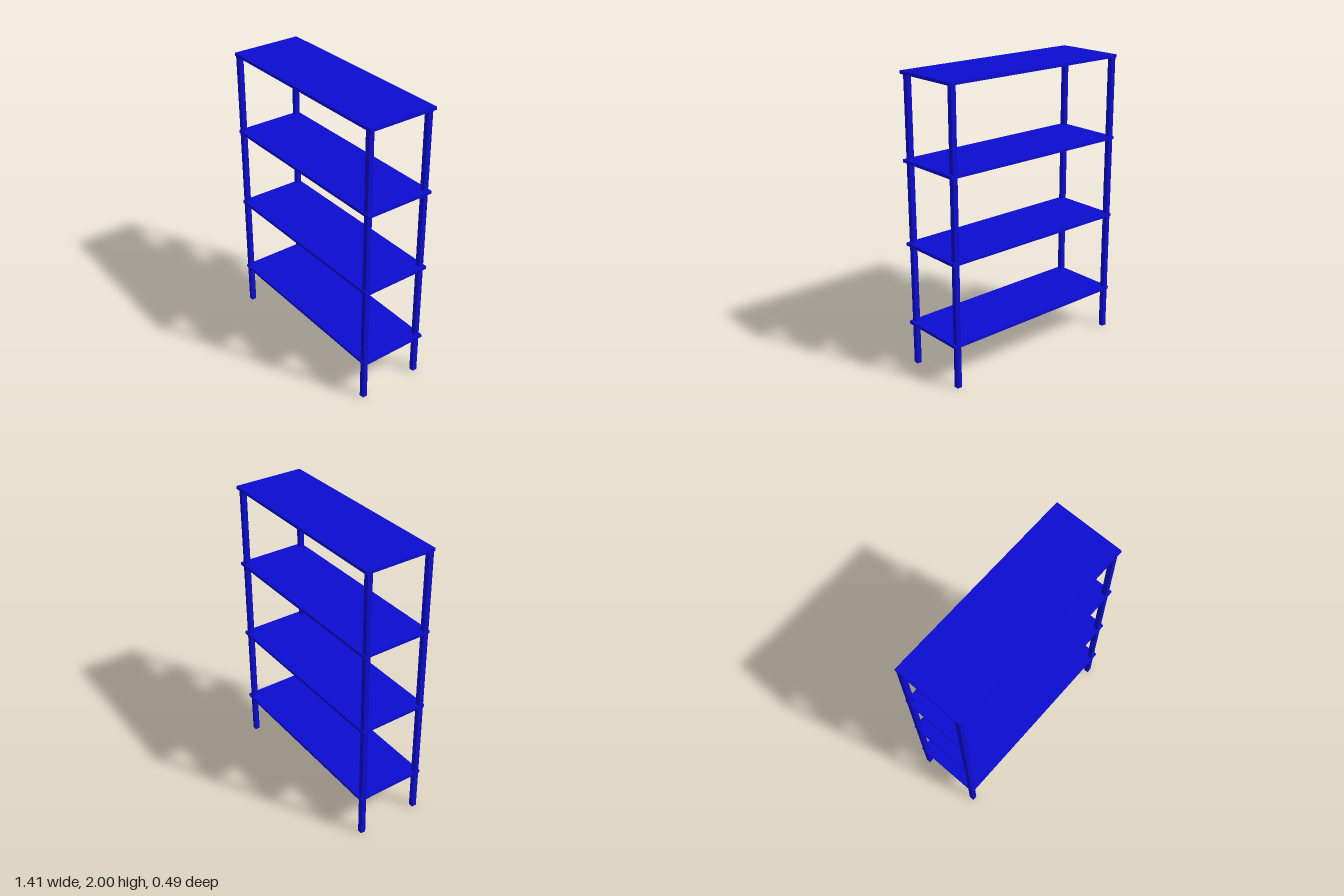
import * as THREE from 'three';

const WIDTH = 1.406, DEPTH = 0.493, HEIGHT = 2;
const BOARD = 0.02;      // shelf thickness
const POST = 0.034;      // post side

export function createModel() {
  const group = new THREE.Group();
  group.name = 'shelvingUnit';
  const blue = new THREE.MeshStandardMaterial({ color: 0x0c0cd0 });

  const addBox = (name, size, position) => {
    const mesh = new THREE.Mesh(new THREE.BoxGeometry(...size), blue);
    mesh.name = name;
    mesh.position.set(...position);
    group.add(mesh);
  };

  // Four evenly spaced shelves, the highest one capping the posts
  for (let i = 0; i < 4; i++) {
    addBox(`shelf${i + 1}`, [WIDTH, BOARD, DEPTH], [0, 0.304 + i * 0.562, 0]);
  }

  // Corner posts, the pair on the right set slightly further out
  const postHeight = HEIGHT - BOARD;
  for (const [side, x] of [['Right', -0.685], ['Left', 0.666]]) {
    for (const [end, z] of [['front', 0.221], ['back', -0.22]]) {
      addBox(`${end}${side}Post`, [POST, postHeight, POST], [x, postHeight / 2, z]);
    }
  }
  return group;
}
